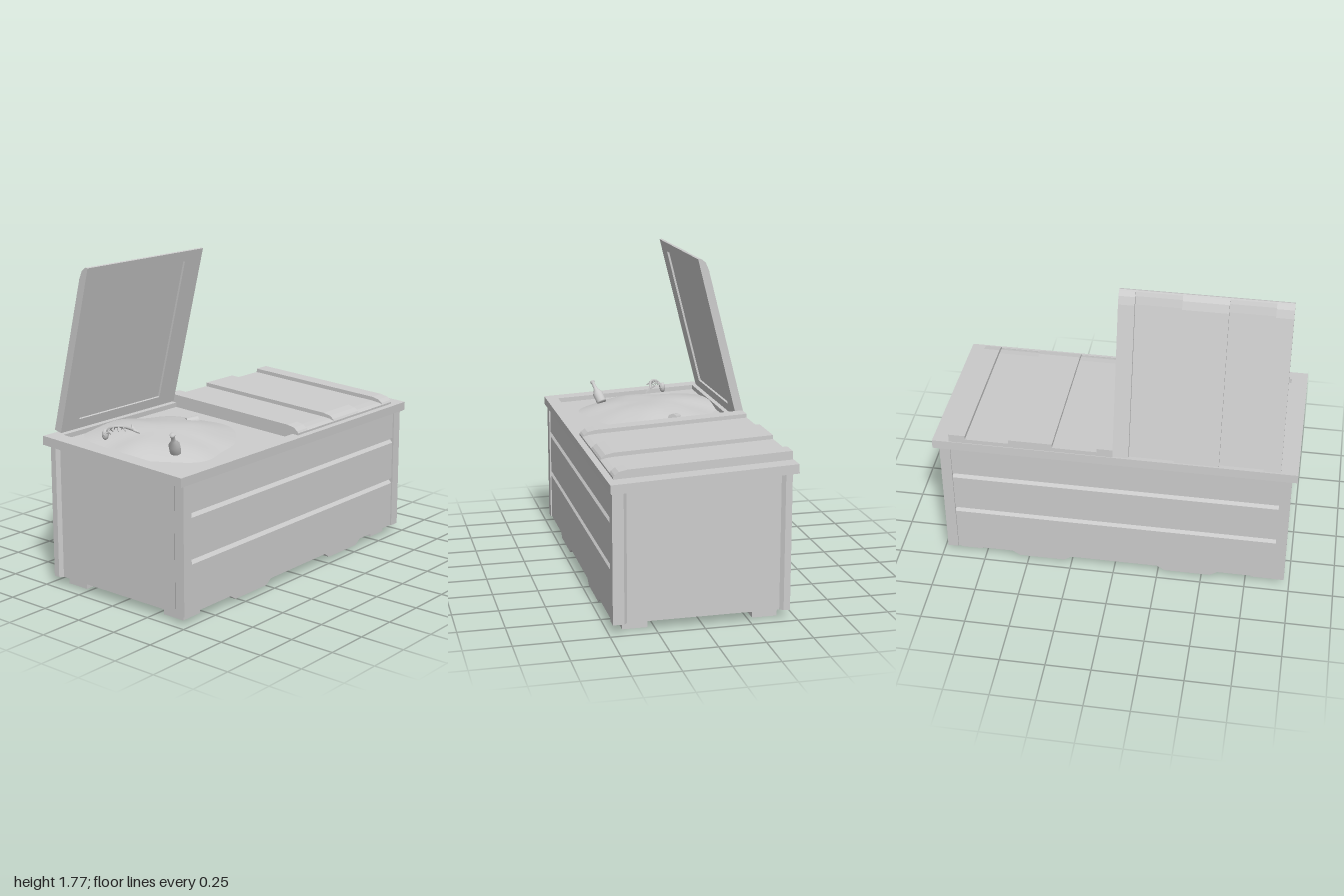
import * as THREE from 'three';

const grey = new THREE.MeshStandardMaterial({ color: 0xcccccc, side: THREE.DoubleSide });
const SLOPE = 0.046; // the top falls towards the front

function add(parent, name, geometry, x = 0, y = 0, z = 0) {
  const mesh = new THREE.Mesh(geometry, grey);
  mesh.name = name;
  mesh.position.set(x, y, z);
  parent.add(mesh);
  return mesh;
}

const polygon = (points) => new THREE.Shape(points.map(([a, b]) => new THREE.Vector2(a, b)));
const rect = (x0, y0, x1, y1) => [[x0, y0], [x1, y0], [x1, y1], [x0, y1]];

function extrude(shape, depth) {
  return new THREE.ExtrudeGeometry(shape, { depth, bevelEnabled: false });
}

// Side profile given as [z, y], extruded from x0 to x1
function extrudeAlongX(points, x0, x1) {
  const geometry = extrude(polygon(points.map(([z, y]) => [-z, y])), x1 - x0);
  return geometry.rotateY(Math.PI / 2).translate(x0, 0, 0);
}

// Flat frame given as [x, z] rectangles, with its underside on y = 0
function flatFrame(outer, inner, thickness) {
  const flip = (points) => points.map(([x, z]) => [x, -z]);
  const shape = polygon(flip(outer));
  shape.holes.push(polygon(flip(inner)));
  return extrude(shape, thickness).rotateX(-Math.PI / 2);
}

// Bar of circular section between two points
function rod(parent, name, a, b, r0, r1, sides = 8) {
  const dir = b.clone().sub(a);
  const mesh = add(parent, name, new THREE.CylinderGeometry(r1, r0, dir.length(), sides));
  mesh.position.copy(a).addScaledVector(dir, 0.5);
  mesh.quaternion.setFromUnitVectors(new THREE.Vector3(0, 1, 0), dir.normalize());
  return mesh;
}

function buildBody(root) {
  const body = new THREE.Group();
  body.name = 'body';
  root.add(body);

  // Grooved front and back panels with a sloping top
  const front = 0.472, back = -0.457, d = 0.016;
  const profile = [[back, 0.05], [front, 0.05]];
  for (const y of [0.315, 0.565]) {
    profile.push([front, y], [front - d, y + 0.018], [front - d, y + 0.028], [front, y + 0.03]);
  }
  profile.push([front, 0.775], [back, 0.818]);
  for (const y of [0.565, 0.315]) {
    profile.push([back, y + 0.03], [back + d, y + 0.028], [back + d, y + 0.018], [back, y]);
  }
  add(body, 'container', extrudeAlongX(profile, -0.952, 0.952));

  for (const s of [-1, 1]) {
    // Corner posts with a bevelled edge towards the side panel
    const postFront = polygon([[0.91, 0.48], [0.97, 0.48], [0.97, 0.42], [0.952, 0.402], [0.91, 0.402]].map(([x, z]) => [s * x, -z]));
    const postBack = polygon([[0.91, -0.465], [0.97, -0.465], [0.97, -0.43], [0.952, -0.412], [0.91, -0.412]].map(([x, z]) => [s * x, -z]));
    add(body, 'frontPost', extrude(postFront, 0.715).rotateX(-Math.PI / 2), 0, 0.05, 0);
    add(body, 'backPost', extrude(postBack, 0.755).rotateX(-Math.PI / 2), 0, 0.05, 0);
    // Feet
    for (const z of [0.352, -0.345]) {
      add(body, 'foot', new THREE.BoxGeometry(0.13, 0.06, 0.135), s * 0.845, 0.03, z);
    }
    // Raised runner under the floor
    const runner = polygon([[-0.18, 0.055], [-0.13, 0.022], [0.13, 0.022], [0.18, 0.055]]);
    add(body, 'floorRunner', extrude(runner, 0.929), s * 0.42, 0, -0.457);
  }

  // Rim around the open half
  const rim = flatFrame(rect(-1, -0.492, 1, 0.492), rect(-0.91, -0.43, 0, 0.42), 0.05);
  add(body, 'rim', rim, 0, 0.7735, 0).rotation.x = SLOPE;
}

// Ribbed lid, hinged on its own x axis and reaching along +z
function buildLid(root, name, side, y, z, angle) {
  const lid = new THREE.Group();
  lid.name = name;
  lid.position.set(0, y, z);
  lid.rotation.x = angle;
  root.add(lid);
  const len = 0.945, base = 0.012, width = 0.907;
  const span = (a, b) => (side > 0 ? [a, b] : [-b, -a]);

  const [f0, f1] = span(0, width), [p0, p1] = span(0.135, 0.78);
  add(lid, 'lidFrame', flatFrame(rect(f0, 0, f1, len), rect(p0, 0.055, p1, 0.885), base));

  // Alternating high and low strips, rounded off at the free end
  const edges = [0, 0.087, 0.333, 0.575, 0.815, width];
  for (let i = 0; i < 5; i++) {
    const high = i % 2 === 0;
    const t = high ? 0.047 : 0.025;
    const [x0, x1] = span(edges[i], edges[i + 1]);
    const profile = [[0, base], [0, t], [0.87, t - 0.002], [0.915, t * 0.8], [len - 0.008, Math.max(base + 0.003, t * 0.48)], [len, base]];
    add(lid, high ? 'lidRib' : 'lidPanel', extrudeAlongX(profile, x0, x1));
  }
}

function buildRubbish(root) {
  const rubbish = new THREE.Group();
  rubbish.name = 'rubbish';
  root.add(rubbish);

  // Smooth heap with an uneven outline
  const heap = new THREE.PlaneGeometry(0.9, 0.84, 40, 36).rotateX(-Math.PI / 2).translate(-0.455, 0, -0.005);
  const pos = heap.attributes.position;
  for (let i = 0; i < pos.count; i++) {
    const x = pos.getX(i), z = pos.getZ(i);
    const a = Math.atan2(z + 0.08, x + 0.5);
    const r = Math.hypot((x + 0.5) / 0.42, (z + 0.08) / 0.43) / (1 + 0.07 * Math.sin(3 * a + 1) + 0.04 * Math.sin(7 * a));
    const bump = 0.062 * Math.max(-0.1, 1 - r * r) + 0.005 * Math.sin(14 * x) * Math.cos(11 * z);
    pos.setY(i, 0.794 - z * SLOPE + bump);
  }
  heap.computeVertexNormals();
  add(rubbish, 'heap', heap);

  // Leaning bottle
  const profile = [[0, 0], [0.028, 0], [0.03, 0.01], [0.03, 0.065], [0.012, 0.095], [0.01, 0.135], [0.014, 0.137], [0.014, 0.15], [0, 0.15]];
  const bottle = add(rubbish, 'bottle', new THREE.LatheGeometry(profile.map(([r, h]) => new THREE.Vector2(r, h)), 16), -0.7, 0.812, 0.19);
  bottle.quaternion.setFromUnitVectors(new THREE.Vector3(0, 1, 0), new THREE.Vector3(-0.075, 0.12, 0.045).normalize());

  // Half buried can
  rod(rubbish, 'can', new THREE.Vector3(-0.218, 0.812, -0.155), new THREE.Vector3(-0.165, 0.822, -0.115), 0.03, 0.03, 16);

  // Fish bone: curved spine, ribs, head and tail
  const spine = new THREE.CatmullRomCurve3([
    new THREE.Vector3(-0.81, 0.86, -0.215), new THREE.Vector3(-0.805, 0.905, -0.175),
    new THREE.Vector3(-0.77, 0.912, -0.13), new THREE.Vector3(-0.705, 0.885, -0.11),
  ]);
  add(rubbish, 'fishSpine', new THREE.TubeGeometry(spine, 16, 0.008, 6));
  for (let i = 1; i < 6; i++) {
    const p = spine.getPoint(i / 7);
    const across = spine.getTangent(i / 7).cross(new THREE.Vector3(0, 1, 0)).normalize();
    for (const s of [-1, 1]) {
      const tip = p.clone().addScaledVector(across, s * 0.026);
      tip.y -= 0.02;
      rod(rubbish, 'fishRib', p, tip, 0.005, 0.003, 5);
    }
  }
  const head = add(rubbish, 'fishHead', new THREE.SphereGeometry(0.025, 10, 8), -0.81, 0.862, -0.212);
  head.scale.set(0.8, 1.2, 0.7);
  const tail = polygon([[0, -0.008], [0.025, -0.035], [0.018, 0], [0.025, 0.035], [0, 0.008]]);
  add(rubbish, 'fishTail', extrude(tail, 0.008).rotateX(-1), -0.71, 0.88, -0.11);
}

export function createModel() {
  const root = new THREE.Group();
  root.name = 'wasteContainer';
  buildBody(root);
  buildLid(root, 'closedLid', 1, 0.845, -0.485, SLOPE);
  buildLid(root, 'openLid', -1, 0.848, -0.45, -1.323);
  buildRubbish(root);
  return root;
}
